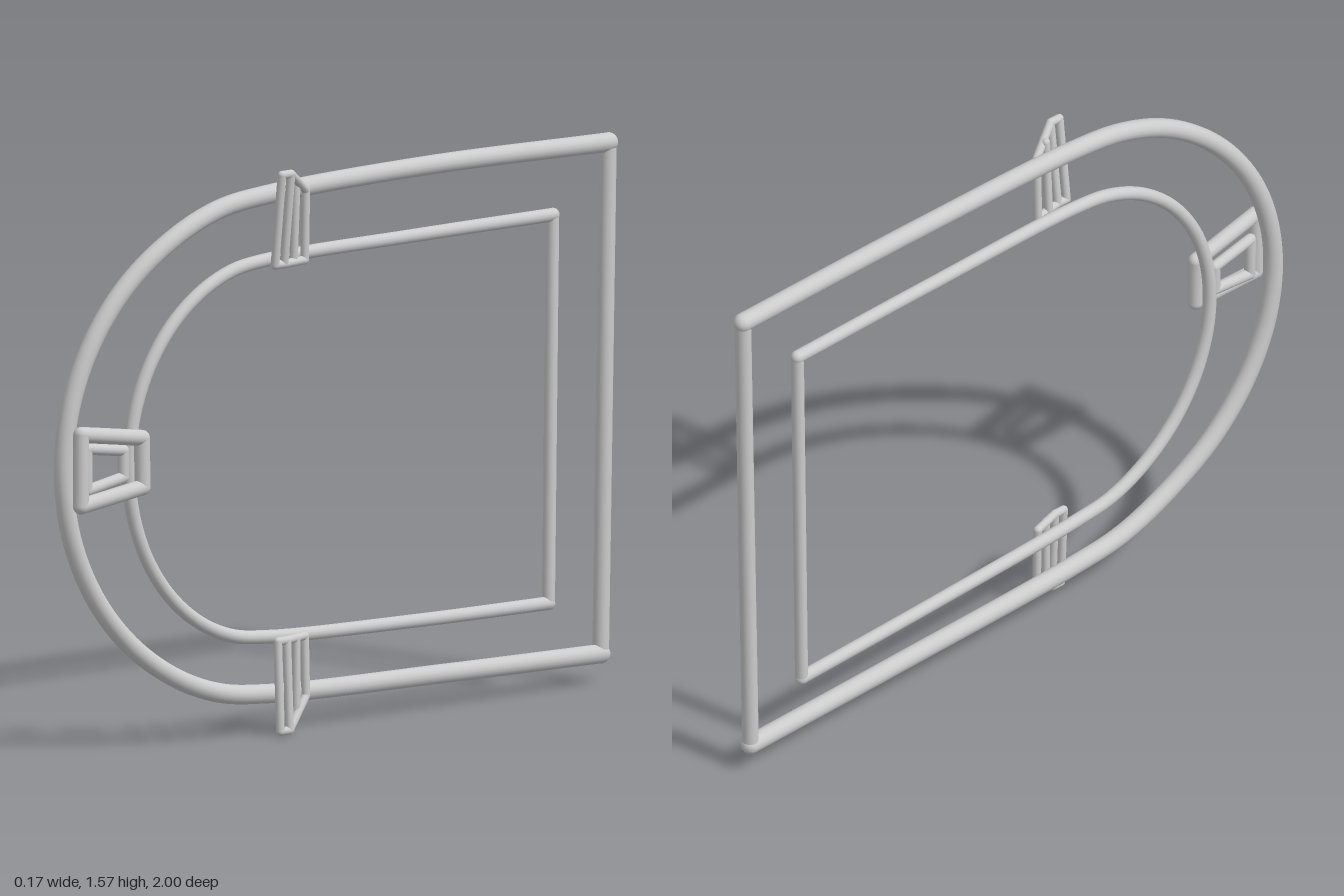
import * as THREE from 'three';

const material = new THREE.MeshStandardMaterial({ color: 0xcccccc });
const V = (p) => new THREE.Vector3(...p);

function add(group, geometry, name) {
  const mesh = new THREE.Mesh(geometry, material);
  mesh.name = name;
  group.add(mesh);
  return mesh;
}

// Straight round bar between two points
function bar(group, a, b, r, name) {
  const d = b.clone().sub(a);
  const mesh = add(group, new THREE.CylinderGeometry(r, r, d.length(), 16, 1, true), name);
  mesh.position.copy(a).addScaledVector(d, 0.5);
  mesh.quaternion.setFromUnitVectors(new THREE.Vector3(0, 1, 0), d.normalize());
}

function joint(group, p, r, name) {
  add(group, new THREE.SphereGeometry(r, 16, 12), name).position.copy(p);
}

// Bars with round joints along a list of [x, y, z] points
function barPath(name, points, r, closed = true) {
  const group = new THREE.Group();
  group.name = name;
  const pts = points.map(V);
  pts.forEach((p, i) => {
    joint(group, p, r, name + 'Joint');
    if (closed || i < pts.length - 1) bar(group, p, pts[(i + 1) % pts.length], r, name + 'Bar');
  });
  return group;
}

// Half ellipse of points from top to bottom, bowed in x between springing, shoulder and crown
function archPoints(cy, cz, height, depth, xSpring, xShoulder, xCrown) {
  const points = [];
  for (let i = 0; i <= 12; i++) {
    const t = Math.PI * (0.5 - i / 12);
    const c = Math.cos(t);
    const x = c < 0.5
      ? THREE.MathUtils.lerp(xSpring, xShoulder, c / 0.5)
      : THREE.MathUtils.lerp(xShoulder, xCrown, (c - 0.5) / 0.5);
    points.push([x, cy + height * Math.sin(t), cz + depth * c]);
  }
  return points;
}

// Arched tube closed by a straight bar at the back
function archFrame(name, points, r, sillR) {
  const group = new THREE.Group();
  group.name = name;
  const pts = points.map(V);
  const curve = new THREE.CatmullRomCurve3(pts, false, 'centripetal');
  add(group, new THREE.TubeGeometry(curve, 160, r, 16, false), name + 'Arch');
  const a = pts[0], b = pts[pts.length - 1];
  bar(group, a, b, sillR, name + 'Sill');
  joint(group, a, r, name + 'Corner');
  joint(group, b, r, name + 'Corner');
  return group;
}

// Side bracket: narrow front loop, sloped rear loop and a middle bar.
// inner and outer are the y of its two ends, step is the drop of the slope.
function sideBracket(name, inner, outer, step, xIn, xOut) {
  const group = new THREE.Group();
  group.name = name;
  const r = 0.012;
  const mid = outer - step * 0.5;
  group.add(
    barPath('frontLoop', [[xIn, inner, 0.262], [xOut, outer, 0.262], [xOut, outer, 0.23], [xIn, inner, 0.23]], r),
    barPath('rearLoop', [[xOut, outer, 0.23], [0.02, outer - step, 0.145], [0.015, inner, 0.145], [xIn, inner, 0.23]], r, false),
    barPath('middleBar', [[xIn - 0.012, inner, 0.187], [0.03, mid, 0.187]], r, false),
  );
  return group;
}

export function createModel() {
  const model = new THREE.Group();
  model.name = 'archedWindowFrame';

  // Outer and inner arched frames
  model.add(archFrame('outerFrame', [
    [-0.042, 1.498, -0.975], [-0.03, 1.507, -0.32],
    ...archPoints(0.8, 0.25, 0.693, 0.71, -0.012, -0.008, -0.03),
    [-0.03, 0.09, -0.4], [-0.045, 0.08, -0.95],
  ], 0.027, 0.023));
  model.add(archFrame('innerFrame', [
    [-0.065, 1.313, -0.797], [-0.045, 1.314, -0.3],
    ...archPoints(0.786, 0.25, 0.523, 0.488, -0.024, -0.02, -0.02),
    [-0.045, 0.244, -0.3], [-0.065, 0.236, -0.782],
  ], 0.019, 0.018));

  // Keystone at the crown of the arch: large face loop, smaller loop behind
  const keystone = new THREE.Group();
  keystone.name = 'keystone';
  keystone.add(
    barPath('faceLoop', [[0.056, 0.914, 0.968], [0.034, 0.877, 0.735], [0.036, 0.74, 0.735], [0.063, 0.717, 0.975]], 0.022),
    barPath('backLoop', [[0.026, 0.866, 0.925], [0.014, 0.845, 0.785], [0.014, 0.77, 0.785], [0.028, 0.75, 0.925]], 0.016),
  );
  model.add(keystone);

  // Brackets where the arch meets the straight sides
  model.add(sideBracket('upperBracket', 1.303, 1.557, 0.06, 0.03, 0.06));
  model.add(sideBracket('lowerBracket', 0.26, 0.012, -0.082, 0.042, 0.054));
  return model;
}
